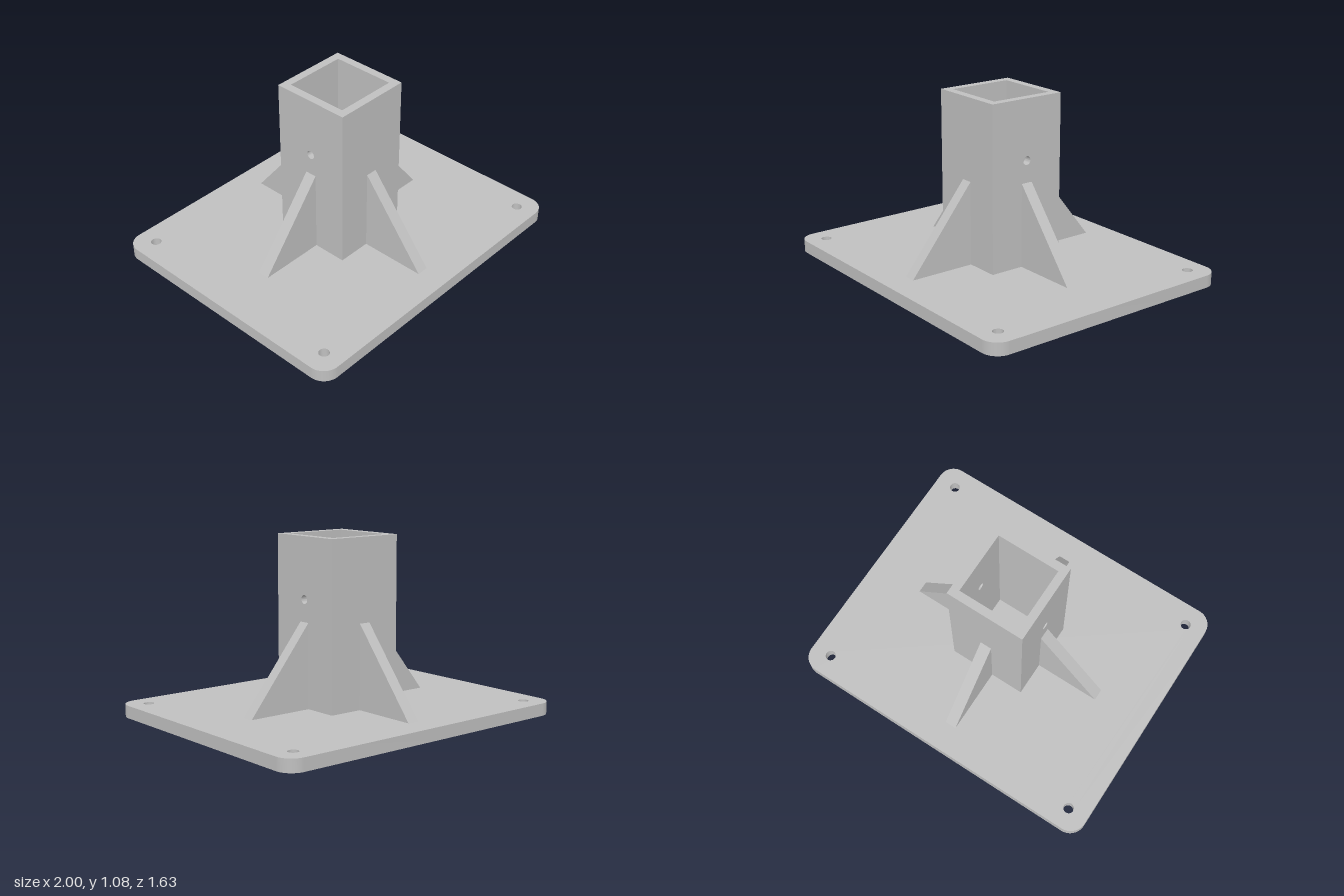
import * as THREE from 'three';
import { toCreasedNormals } from 'three/addons/utils/BufferGeometryUtils.js';

const PLATE = { w: 2, d: 1.63, h: 0.075, r: 0.1 };
const POST = { half: 0.245, wall: 0.05, top: 1.075 };

function addHole(shape, x, y, r) {
  const hole = new THREE.Path();
  hole.absarc(x, y, r, 0, Math.PI * 2, true);
  shape.holes.push(hole);
}

function extrude(shape, depth) {
  const geo = new THREE.ExtrudeGeometry(shape, { depth, bevelEnabled: false, curveSegments: 16 });
  return toCreasedNormals(geo, 0.6);
}

export function createModel() {
  const group = new THREE.Group();
  const steel = new THREE.MeshStandardMaterial({ color: 0xbfbfbf });
  steel.name = 'steel grey';

  const add = (name, geo) => {
    const mesh = new THREE.Mesh(geo, steel);
    mesh.name = name;
    group.add(mesh);
    return mesh;
  };

  // Base plate: rounded corners and four bolt holes
  const { w, d, h, r } = PLATE;
  const plate = new THREE.Shape();
  plate.absarc(w / 2 - r, d / 2 - r, r, 0, Math.PI / 2);
  plate.absarc(-w / 2 + r, d / 2 - r, r, Math.PI / 2, Math.PI);
  plate.absarc(-w / 2 + r, -d / 2 + r, r, Math.PI, Math.PI * 1.5);
  plate.absarc(w / 2 - r, -d / 2 + r, r, Math.PI * 1.5, Math.PI * 2);
  plate.closePath();
  for (const x of [-0.872, 0.872]) {
    for (const z of [-0.69, 0.69]) addHole(plate, x, z, 0.031);
  }
  add('basePlate', extrude(plate, h).rotateX(-Math.PI / 2));

  // Square post: left and right walls carry the cross-pin hole
  const { half, wall, top } = POST;
  const side = new THREE.Shape();
  side.moveTo(-half, h);
  side.lineTo(half, h);
  side.lineTo(half, top);
  side.lineTo(-half, top);
  side.closePath();
  addHole(side, 0, 0.712, 0.026);
  const sideGeo = extrude(side, wall).rotateY(Math.PI / 2);
  add('postLeftWall', sideGeo).position.x = half - wall;
  add('postRightWall', sideGeo).position.x = -half;

  // Front and back walls fit between them
  const wallGeo = new THREE.BoxGeometry(2 * (half - wall), top - h, wall);
  add('postFrontWall', wallGeo).position.set(0, (top + h) / 2, half - wall / 2);
  add('postBackWall', wallGeo).position.set(0, (top + h) / 2, -half + wall / 2);

  // Triangular gusset on each side of the post
  const thickness = 0.072;
  const tri = new THREE.Shape();
  tri.moveTo(half, h);
  tri.lineTo(0.652, h);
  tri.lineTo(half, 0.58);
  tri.closePath();
  const gussetGeo = extrude(tri, thickness).translate(0, 0, -thickness / 2);
  ['leftGusset', 'backGusset', 'rightGusset', 'frontGusset'].forEach((name, i) => {
    add(name, gussetGeo).rotation.y = (i * Math.PI) / 2;
  });

  return group;
}
